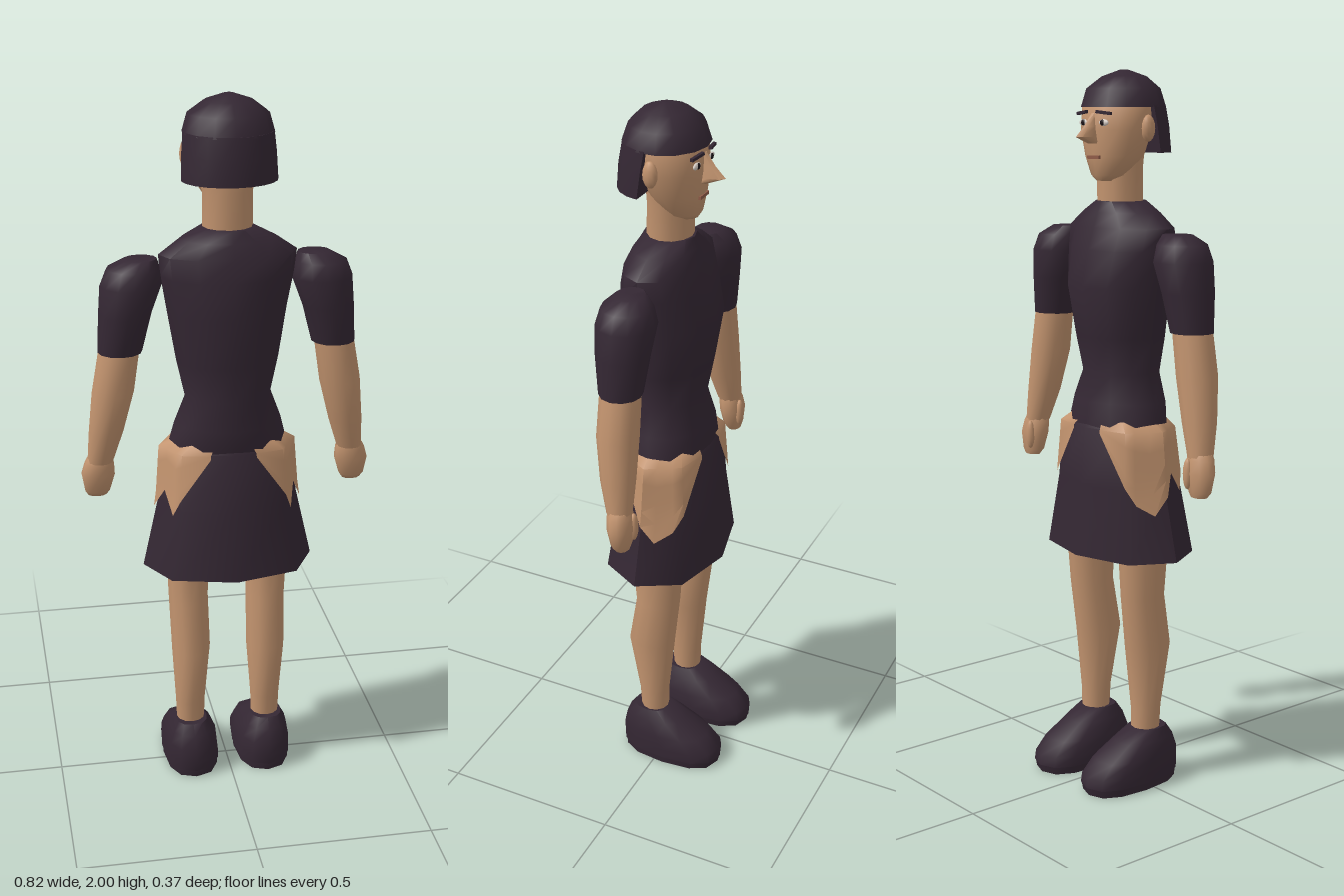
import * as THREE from 'three';
import { toCreasedNormals } from 'three/addons/utils/BufferGeometryUtils.js';

const mat = (name, color, side = THREE.FrontSide) => {
  const m = new THREE.MeshStandardMaterial({ color, side });
  m.name = name;
  return m;
};

// Grid of points (rows bottom to top) to a creased surface, with optional fan caps
function surface(rows, { closed = true, bottom = false, top = false } = {}) {
  const n = rows[0].length, pos = rows.flat(2), idx = [];
  const cols = closed ? n : n - 1;
  for (let i = 0; i < rows.length - 1; i++) {
    for (let j = 0; j < cols; j++) {
      const k = (j + 1) % n, a = i * n + j, b = i * n + k;
      idx.push(a, b, b + n, a, b + n, a + n);
    }
  }
  const cap = (i, up) => {
    const c = pos.length / 3;
    const mid = [0, 1, 2].map((d) => rows[i].reduce((s, p) => s + p[d], 0) / n);
    pos.push(...mid);
    for (let j = 0; j < n; j++) {
      const a = i * n + j, b = i * n + (j + 1) % n;
      idx.push(...(up ? [c, a, b] : [c, b, a]));
    }
  };
  if (bottom) cap(0, false);
  if (top) cap(rows.length - 1, true);
  const g = new THREE.BufferGeometry();
  g.setAttribute('position', new THREE.Float32BufferAttribute(pos, 3));
  g.setIndex(idx);
  return toCreasedNormals(g, 0.95);
}

const power = (v, e) => Math.sign(v) * Math.abs(v) ** e;

// Rings are [y, centre x, half width, back z, front z]
function loft(rings, { n = 12, e = 1, s = 1, from = 0, to = Math.PI * 2, bottom = true, top = true } = {}) {
  const full = to - from > 6.2;
  const rows = rings.map(([y, cx, rx, z0, z1]) =>
    Array.from({ length: full ? n : n + 1 }, (_, j) => {
      const a = from + (to - from) * j / n;
      return [s * cx + rx * power(Math.sin(a), e), y, (z0 + z1) / 2 + (z0 - z1) / 2 * power(Math.cos(a), e)];
    }));
  return surface(rows, { bottom, top });
}

// Skirt as an eight-sided flare; t runs 0..8 around it
const SKIRT = [[0.67, 0.243, 0.188, -0.135], [0.87, 0.198, 0.16, -0.115], [1.03, 0.186, 0.135, -0.1], [1.06, 0.14, 0.12, -0.08]];
function skirtPoint(t, y, offset = 0) {
  let i = 0;
  while (i < SKIRT.length - 2 && y > SKIRT[i + 1][0]) i++;
  const f = (y - SKIRT[i][0]) / (SKIRT[i + 1][0] - SKIRT[i][0]);
  const [, rx, z0, z1] = SKIRT[i].map((v, d) => v + (SKIRT[i + 1][d] - v) * f);
  const corner = (k) => {
    const a = k * Math.PI / 4;
    return [(rx + offset) * power(Math.sin(a), 0.9), (z0 + z1) / 2 + ((z0 - z1) / 2 + offset) * power(Math.cos(a), 0.9)];
  };
  const k = Math.floor(t), p = corner(k), q = corner(k + 1), u = t - k;
  return [p[0] + (q[0] - p[0]) * u, y, p[1] + (q[1] - p[1]) * u];
}

export function createModel() {
  const model = new THREE.Group();
  model.name = 'figure';
  const skin = mat('skin', 0xc3946f);
  const cloth = mat('darkCloth', 0x342733, THREE.DoubleSide);
  const white = mat('eyeWhite', 0xd8cfc8);
  const black = mat('eyeDark', 0x1a1216);
  const lip = mat('lip', 0x8f5b48);

  const add = (name, geometry, material, x = 0, y = 0, z = 0) => {
    const m = new THREE.Mesh(geometry, material);
    m.name = name;
    m.position.set(x, y, z);
    model.add(m);
    return m;
  };
  const blob = (name, material, p, r) =>
    add(name, new THREE.SphereGeometry(1, 12, 8), material, ...p).scale.set(...r);

  // Shirt and skirt
  add('shirt', loft([
    [1.03, 0, 0.168, 0.13, -0.095], [1.1, 0, 0.15, 0.14, -0.09], [1.18, 0, 0.12, 0.132, -0.07],
    [1.28, 0, 0.142, 0.142, -0.088], [1.42, 0, 0.165, 0.152, -0.11], [1.52, 0, 0.182, 0.147, -0.087],
    [1.58, 0, 0.188, 0.132, -0.067], [1.62, 0, 0.13, 0.118, -0.053], [1.65, 0, 0.07, 0.1, -0.042],
  ]), cloth);
  add('skirt', surface(SKIRT.map(([y]) => Array.from({ length: 8 }, (_, t) => skirtPoint(t, y)))), cloth);

  // Head and neck
  add('neck', loft([[1.62, 0, 0.068, 0.09, -0.035], [1.74, 0, 0.068, 0.088, -0.035], [1.8, 0, 0.08, 0.09, -0.04]]), skin);
  add('head', loft([
    [1.705, 0, 0.03, 0.02, -0.05], [1.72, 0, 0.055, 0.05, -0.06], [1.77, 0, 0.086, 0.08, -0.068],
    [1.84, 0, 0.11, 0.11, -0.075], [1.9, 0, 0.112, 0.12, -0.07], [1.95, 0, 0.09, 0.1, -0.04],
  ], { n: 16 }), skin);
  add('nose', loft([
    [1.805, 0, 0.018, -0.04, -0.085], [1.822, 0, 0.02, -0.04, -0.128], [1.85, 0, 0.014, -0.04, -0.1], [1.885, 0, 0.01, -0.045, -0.073],
  ], { n: 8 }), skin);
  add('mouth', new THREE.BoxGeometry(0.05, 0.009, 0.008), lip, 0, 1.768, -0.066);

  // Bobbed hair: crown above the brow, half shell round the back
  add('hairCrown', loft([
    [1.9, 0, 0.122, 0.152, -0.077], [1.95, 0, 0.108, 0.134, -0.06], [1.982, 0, 0.065, 0.1, -0.02], [2, 0, 0.012, 0.05, 0.03],
  ], { n: 14 }), cloth);
  add('hairBack', loft([
    [1.78, 0, 0.129, 0.165, -0.055], [1.85, 0, 0.126, 0.161, -0.069], [1.905, 0, 0.121, 0.151, -0.077],
  ], { n: 10, from: -1.52, to: 1.52 }), cloth);

  for (const s of [1, -1]) {
    const side = s > 0 ? 'left' : 'right';
    const pair = (name, rings, material, opt = {}) => add(side + name, loft(rings, { s, ...opt }), material);

    // Face details
    blob(side + 'Ear', skin, [s * 0.112, 1.845, 0.03], [0.016, 0.036, 0.021]);
    blob(side + 'Eye', white, [s * 0.042, 1.86, -0.066], [0.019, 0.009, 0.006]);
    blob(side + 'Pupil', black, [s * 0.04, 1.86, -0.07], [0.008, 0.008, 0.004]);
    const brow = add(side + 'Brow', new THREE.BoxGeometry(0.05, 0.008, 0.009), cloth, s * 0.045, 1.886, -0.069);
    brow.rotation.set(0, s * -0.2, s * -0.1);

    // Arm
    pair('Sleeve', [
      [1.315, 0.295, 0.061, 0.086, -0.031], [1.42, 0.279, 0.072, 0.1, -0.045], [1.5, 0.261, 0.084, 0.106, -0.055],
      [1.545, 0.255, 0.072, 0.094, -0.042], [1.57, 0.236, 0.045, 0.066, -0.012],
    ], cloth);
    pair('Forearm', [
      [0.99, 0.355, 0.036, 0.042, -0.028], [1.08, 0.338, 0.048, 0.066, -0.03],
      [1.2, 0.317, 0.058, 0.084, -0.03], [1.33, 0.296, 0.056, 0.082, -0.028],
    ], skin);
    pair('Hand', [
      [0.885, 0.365, 0.026, 0.012, -0.025], [0.9, 0.365, 0.036, 0.025, -0.03], [0.95, 0.362, 0.048, 0.035, -0.035],
      [0.985, 0.358, 0.042, 0.038, -0.03], [1, 0.356, 0.036, 0.035, -0.025],
    ], skin, { n: 10 });
    blob(side + 'Thumb', skin, [s * 0.345, 0.948, -0.03], [0.014, 0.042, 0.012]);

    // Bare hip showing through the ragged skirt
    const rag = [[0.45, 1.02], [1, 0.9], [1.25, 0.85], [1.65, 0.91], [2, 0.85], [2.35, 0.8], [2.75, 0.83], [3, 0.88], [3.6, 1.02]];
    const cols = s > 0 ? rag : rag.map(([t, y]) => [8 - t, y]).reverse();
    const rows = [0, 0.25, 0.5, 0.75, 1].map((f) => cols.map(([t, y]) => skirtPoint(t, y + (1.03 - y) * f, 0.007)));
    rows.push(cols.map(([t]) => skirtPoint(t, 1.055, 0.004)));
    add(side + 'Hip', surface(rows, { closed: false }), skin);

    // Leg and shoe
    pair('Leg', [
      [0.13, 0.112, 0.04, 0.068, -0.012], [0.22, 0.112, 0.043, 0.073, -0.014], [0.4, 0.11, 0.056, 0.107, -0.033],
      [0.55, 0.113, 0.057, 0.08, -0.05], [0.7, 0.115, 0.061, 0.092, -0.062], [0.95, 0.105, 0.075, 0.11, -0.075],
    ], skin);
    pair('Shoe', [
      [0.022, 0.108, 0.083, 0.125, -0.185], [0.05, 0.108, 0.082, 0.127, -0.181], [0.09, 0.109, 0.077, 0.126, -0.142],
      [0.13, 0.111, 0.063, 0.11, -0.07], [0.16, 0.112, 0.047, 0.088, -0.018],
    ], cloth, { e: 0.8 });
    pair('Sole', [[0, 0.108, 0.079, 0.12, -0.178], [0.022, 0.108, 0.081, 0.122, -0.183]], cloth, { e: 0.8 });
  }
  return model;
}
